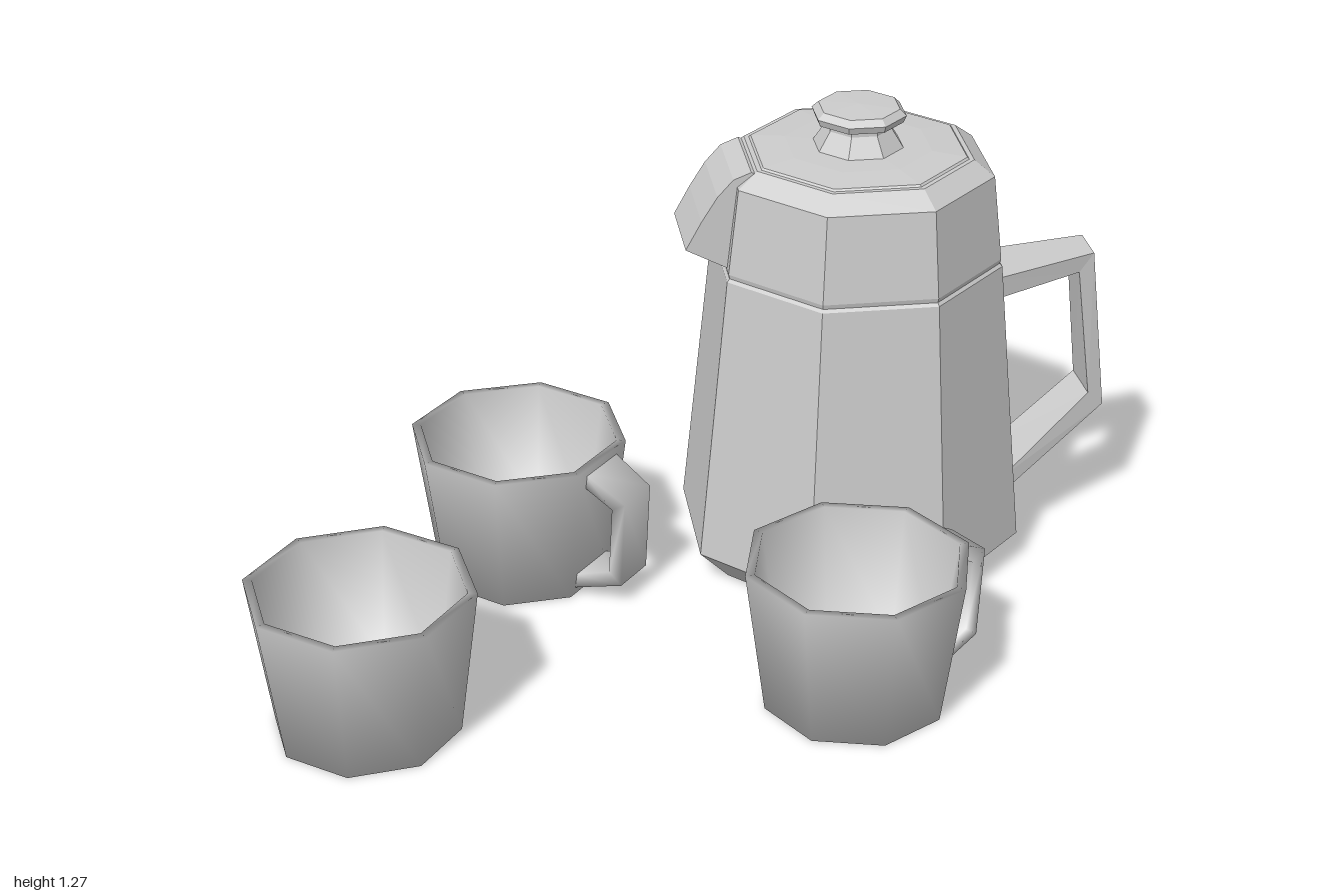
import * as THREE from 'three';
import { mergeVertices } from 'three/addons/utils/BufferGeometryUtils.js';

const rad = THREE.MathUtils.degToRad;
const flat = new THREE.MeshStandardMaterial({ color: 0xcccccc, flatShading: true });
const smooth = new THREE.MeshStandardMaterial({ color: 0xcccccc });

function addMesh(parent, name, geometry, material) {
  const mesh = new THREE.Mesh(geometry, material);
  mesh.name = name;
  parent.add(mesh);
  return mesh;
}

// Eight-sided turned form from a [radius, height] profile
function octagonal(profile) {
  return new THREE.LatheGeometry(profile.map(([r, y]) => new THREE.Vector2(r, y)), 8);
}

// Open loop handle: outer and inner outlines of the near side,
// and for each corner the offset that leads to the far side
function loopHandle(outer, inner, offsets) {
  const positions = [];
  const shift = (p, i) => p.map((c, k) => c + offsets[i][k]);
  const outerFar = outer.map(shift);
  const innerFar = inner.map(shift);
  const quad = (a, b, c, d) => positions.push(...a, ...b, ...c, ...a, ...c, ...d);
  for (let i = 0; i < outer.length - 1; i++) {
    const j = i + 1;
    quad(outer[i], inner[i], inner[j], outer[j]);
    quad(outerFar[i], outerFar[j], innerFar[j], innerFar[i]);
    quad(outer[i], outer[j], outerFar[j], outerFar[i]);
    quad(inner[i], innerFar[i], innerFar[j], inner[j]);
  }
  const geometry = new THREE.BufferGeometry();
  geometry.setAttribute('position', new THREE.Float32BufferAttribute(positions, 3));
  return geometry;
}

function createPot() {
  const pot = new THREE.Group();
  pot.name = 'pot';
  const center = [0.342, 0, -0.447];
  const turn = rad(-5.8);

  // Tapered body with a foot chamfer, a fine groove and a shoulder
  const body = addMesh(pot, 'potBody', octagonal([
    [0, 0], [0.375, 0], [0.46, 0.09], [0.383, 0.865], [0.376, 0.873],
    [0.379, 0.885], [0.352, 1.11], [0.298, 1.15], [0, 1.15],
  ]), flat);

  // Shallow lid and flared knob
  const lid = addMesh(pot, 'lid', octagonal([[0.29, 1.145], [0.28, 1.155], [0.19, 1.162], [0, 1.165]]), flat);
  const knob = addMesh(pot, 'lidKnob', octagonal([
    [0.122, 1.155], [0.085, 1.212], [0.085, 1.222], [0.115, 1.232],
    [0.122, 1.25], [0.105, 1.266], [0, 1.27],
  ]), flat);
  for (const part of [body, lid, knob]) {
    part.position.set(...center);
    part.rotation.y = turn;
  }

  // Spout: a beak-shaped side profile, extruded across one face
  const beak = new THREE.Shape([
    [0.27, 1.14], [0.27, 0.89], [0.35, 0.89], [0.455, 0.945],
    [0.415, 1.02], [0.375, 1.085], [0.335, 1.13], [0.29, 1.148],
  ].map(([x, y]) => new THREE.Vector2(x, y)));
  const beakGeometry = new THREE.ExtrudeGeometry(beak, { depth: 0.23, bevelEnabled: false });
  beakGeometry.translate(0, 0, -0.115);
  const spout = addMesh(pot, 'spout', beakGeometry, flat);
  spout.position.set(...center);
  spout.rotation.y = rad(-163.3);

  // Angular handle, slanting towards the back
  const handle = loopHandle(
    [[0.69, 0.795, -0.465], [0.95, 0.785, -0.70], [1.0, 0.34, -0.70], [0.75, 0.165, -0.47]],
    [[0.69, 0.735, -0.465], [0.915, 0.74, -0.67], [0.96, 0.385, -0.67], [0.75, 0.215, -0.47]],
    [[-0.052, 0, -0.18], [-0.036, 0, -0.11], [-0.045, 0, -0.126], [-0.052, 0, -0.18]],
  );
  handle.computeVertexNormals();
  addMesh(pot, 'potHandle', handle, flat);
  return pot;
}

function createCup(x, z, turn, handleAngle) {
  const cup = new THREE.Group();
  cup.name = 'cup';
  cup.position.set(x, 0, z);

  // Thin-walled open bowl
  const bowl = addMesh(cup, 'cupBowl', octagonal([
    [0, 0], [0.233, 0], [0.286, 0.39], [0.262, 0.39], [0.21, 0.04], [0, 0.04],
  ]), smooth);
  bowl.rotation.y = rad(-turn);

  // Soft-shaded loop handle, centred on a face of the bowl
  const root = 0.07, tip = 0.06;
  const geometry = mergeVertices(loopHandle(
    [[0.25, 0.375, root], [0.37, 0.31, tip], [0.355, 0.065, tip], [0.215, 0.02, root]],
    [[0.25, 0.335, root], [0.33, 0.285, tip], [0.318, 0.095, tip], [0.215, 0.06, root]],
    [[0, 0, -2 * root], [0, 0, -2 * tip], [0, 0, -2 * tip], [0, 0, -2 * root]],
  ));
  geometry.computeVertexNormals();
  addMesh(cup, 'cupHandle', geometry, smooth).rotation.y = rad(-handleAngle);
  return cup;
}

export function createModel() {
  const set = new THREE.Group();
  set.name = 'coffeeSet';
  set.add(createPot());
  set.add(createCup(-0.505, -0.2, 0, 22.5));
  set.add(createCup(-0.716, 0.61, -2.7, -115.2));
  set.add(createCup(0.444, 0.297, 20, -47.5));
  return set;
}
